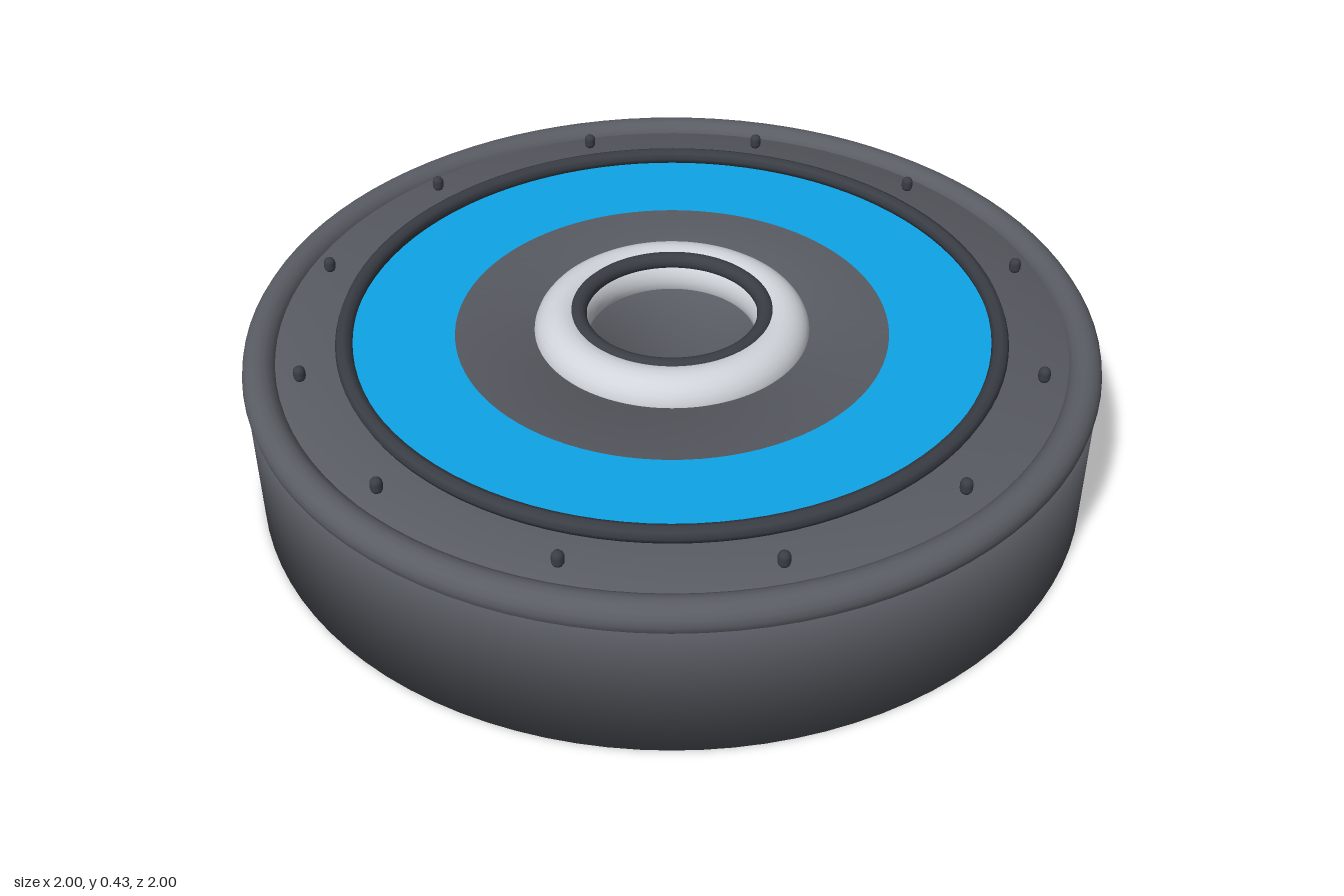
import * as THREE from 'three';

const paint = (name, color) => {
  const m = new THREE.MeshStandardMaterial({ color });
  m.name = name;
  return m;
};

export function createModel() {
  const rubber = paint('grey rubber', 0x5a5d64);
  const dark = paint('dark trim', 0x3a3e45);
  const blue = paint('blue band', 0x0ea5e9);
  const steel = paint('steel', 0xd1d5db);

  const group = new THREE.Group();
  group.name = 'weightPlate';

  const add = (name, geometry, material, y = 0) => {
    const mesh = new THREE.Mesh(geometry, material);
    mesh.name = name;
    mesh.position.y = y;
    group.add(mesh);
    return mesh;
  };
  // Horizontal torus around the plate's axis
  const hoop = (name, radius, tube, y, material, sides = 16) =>
    add(name, new THREE.TorusGeometry(radius, tube, sides, 96).rotateX(-Math.PI / 2), material, y);

  // Thick disc with a bar hole, softly shaded across its edges
  const top = 0.366;
  const profile = [[0.2, 0], [0.995, 0], [0.995, top], [0.2, top], [0.2, 0]]
    .map(([r, y]) => new THREE.Vector2(r, y));
  add('body', new THREE.LatheGeometry(profile, 96), rubber);

  // Raised outer rim
  hoop('rim', 0.96, 0.04, 0.35, rubber);

  // Coloured band and its dark border
  add('colourBand', new THREE.RingGeometry(0.51, 0.775, 96).rotateX(-Math.PI / 2), blue, top + 0.004);
  hoop('bandBorder', 0.765, 0.02, 0.386, dark, 8);

  // Steel hub and the dark collar around the hole
  hoop('hub', 0.26, 0.065, 0.357, steel, 24);
  hoop('collar', 0.22, 0.02, 0.405, dark, 12);

  // Twelve small studs
  const studGeometry = new THREE.CapsuleGeometry(0.014, 0.012, 4, 12);
  for (let i = 0; i < 12; i++) {
    const a = (i / 12) * Math.PI * 2;
    const stud = add('stud', studGeometry, dark, 0.387);
    stud.position.x = Math.cos(a) * 0.87;
    stud.position.z = Math.sin(a) * 0.87;
  }
  return group;
}
